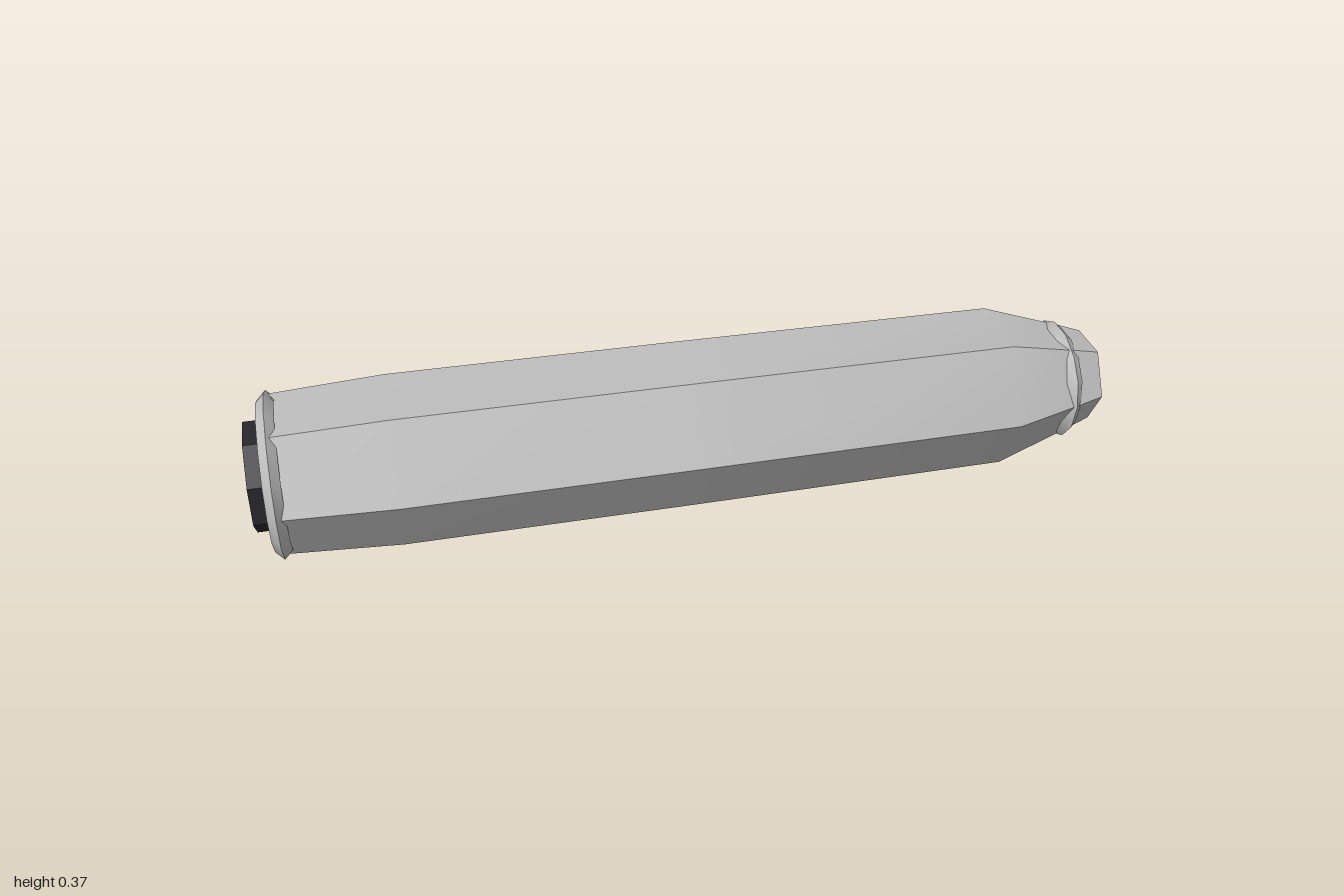
import * as THREE from 'three';
import { toCreasedNormals } from 'three/addons/utils/BufferGeometryUtils.js';

export function createModel() {
  const grey = new THREE.MeshStandardMaterial({ color: 0xbebebe });
  grey.name = 'light grey';
  const dark = new THREE.MeshStandardMaterial({ color: 0x28282d });
  dark.name = 'near black';

  const model = new THREE.Group();
  model.name = 'hexagonalRod';
  const AXIS_Y = 0.187;

  function add(name, geometry, material) {
    const mesh = new THREE.Mesh(toCreasedNormals(geometry, 0.6), material);
    mesh.name = name;
    mesh.position.y = AXIS_Y;
    model.add(mesh);
  }

  // Profile of [x, radius] pairs turned around the long axis
  function turned(profile, sides, startAngle = 0) {
    const points = profile.map(([x, r]) => new THREE.Vector2(r, x));
    return new THREE.LatheGeometry(points, sides, startAngle).rotateZ(-Math.PI / 2);
  }

  // Six-sided body, swelling slightly and tapering to a flat tip
  add('body', turned([
    [-0.945, 0], [-0.945, 0.181], [-0.68, 0.195], [0, 0.193],
    [0.76, 0.188], [0.94, 0.129], [1, 0.108], [1, 0],
  ], 6), grey);

  // Diamond-section collars at both ends
  for (const [name, x, radius] of [['baseCollar', -0.945, 0.172], ['tipCollar', 0.92, 0.123]]) {
    const ring = new THREE.TorusGeometry(radius, 0.02, 4, 14);
    add(name, ring.rotateY(Math.PI / 2).translate(x, 0, 0), grey);
  }

  // Dark plug in the base
  add('basePlug', turned([
    [-1, 0], [-1, 0.127], [-0.94, 0.127], [-0.94, 0],
  ], 8, Math.PI / 8), dark);

  return model;
}
